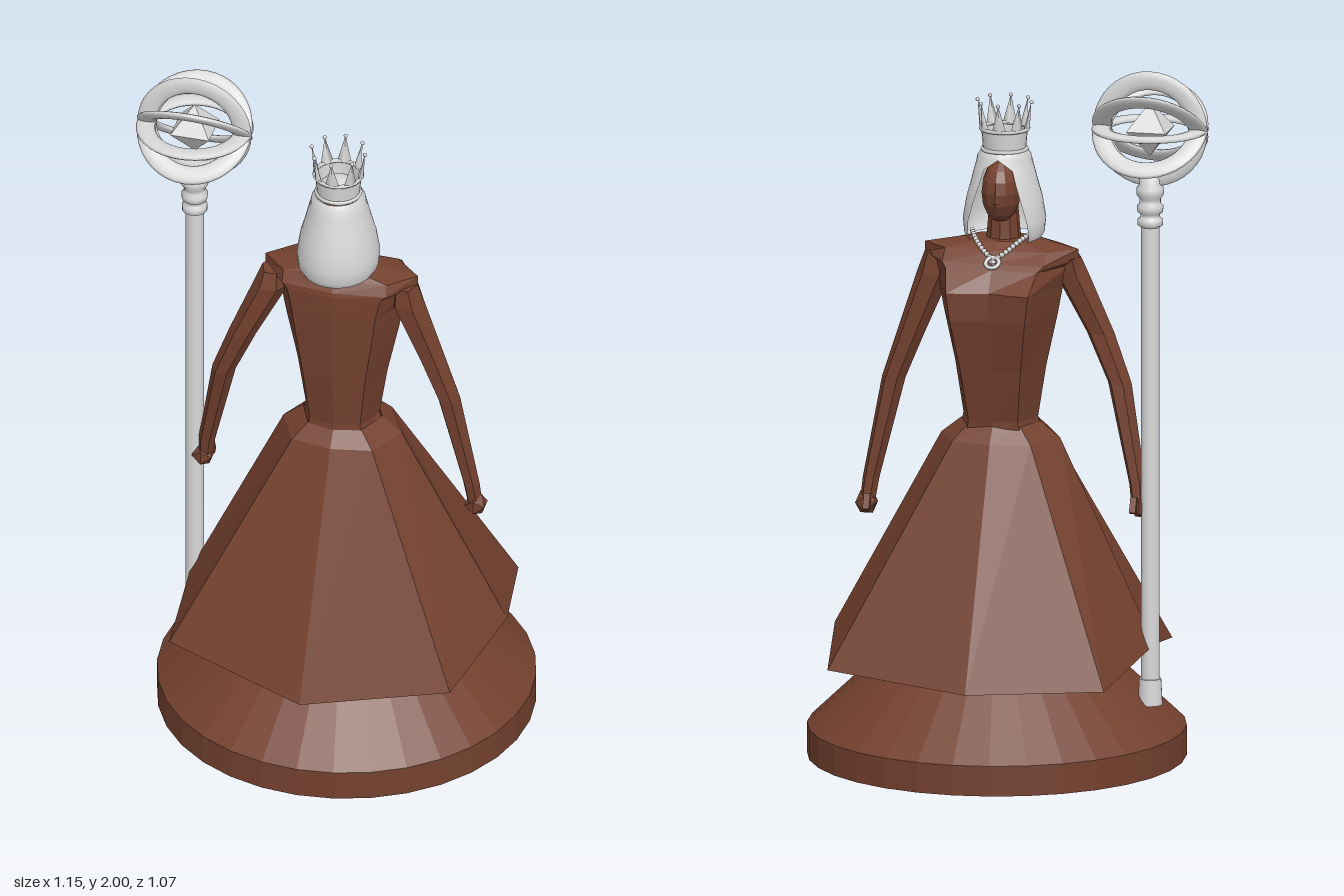
import * as THREE from 'three';

const brown = new THREE.MeshStandardMaterial({ color: 0x74412f, flatShading: true, side: THREE.DoubleSide });
brown.name = 'carved brown';
const silver = new THREE.MeshStandardMaterial({ color: 0xd8d8d8, side: THREE.DoubleSide });
silver.name = 'pale silver';

const CX = 0.027; // body axis

function add(parent, name, geo, mat, x = 0, y = 0, z = 0) {
  const m = new THREE.Mesh(geo, mat);
  m.name = name;
  m.position.set(x, y, z);
  parent.add(m);
  return m;
}

// Skin a stack of equal-length rings, listed bottom to top, with optional end caps
function loft(rings, capBottom = true, capTop = true) {
  const n = rings[0].length, pos = [];
  const tri = (a, b, c) => pos.push(...a, ...b, ...c);
  const centre = r => [0, 1, 2].map(k => r.reduce((s, p) => s + p[k], 0) / n);
  const top = rings[rings.length - 1], ct = centre(top), cb = centre(rings[0]);
  for (let j = 0; j < n; j++) {
    const k = (j + 1) % n;
    for (let i = 0; i < rings.length - 1; i++) {
      const a = rings[i], b = rings[i + 1];
      tri(a[j], b[j], a[k]);
      tri(a[k], b[j], b[k]);
    }
    if (capBottom) tri(rings[0][j], rings[0][k], cb);
    if (capTop) tri(top[k], top[j], ct);
  }
  const g = new THREE.BufferGeometry();
  g.setAttribute('position', new THREE.Float32BufferAttribute(pos, 3));
  g.computeVertexNormals();
  return g;
}

// Eight-point body section: half width, side depth, back (+z), bust and front-centre depths
const section = ([y, h, side, back, bust, mid]) => [
  [CX + h, y, side], [CX + h * 0.68, y, back * 0.85], [CX, y, back], [CX - h * 0.68, y, back * 0.85],
  [CX - h, y, side], [CX - h * 0.66, y, bust], [CX, y, mid], [CX + h * 0.66, y, bust]];

// Six-point limb section
const limb = ([x, y, z, rx, rz]) => Array.from({ length: 6 }, (_, i) => {
  const a = i * Math.PI / 3;
  return [x + rx * Math.cos(a), y, z + rz * Math.sin(a)];
});

const lathe = (pts, seg) => new THREE.LatheGeometry(pts.map(p => new THREE.Vector2(...p)), seg);

function buildBody(root) {
  // Round plinth with a sloping top
  add(root, 'plinthRim', new THREE.CylinderGeometry(0.535, 0.535, 0.087, 32), brown, 0.036, 0.0435);
  add(root, 'plinthSlope', new THREE.CylinderGeometry(0.2, 0.535, 0.32, 32), brown, 0.036, 0.247);

  // Flared skirt with an uneven hem
  const hem = [[0.51, 0.35, 0.02], [0.43, 0.29, 0.34], [0.01, 0.22, 0.41], [-0.4, 0.29, 0.3],
    [-0.42, 0.34, 0], [-0.36, 0.28, -0.36], [0.03, 0.26, -0.41], [0.45, 0.29, -0.32]];
  const belt = section([0.92, 0.172, 0.01, 0.145, -0.105, -0.125]);
  const waist = section([0.965, 0.115, 0.01, 0.11, -0.075, -0.09]);
  add(root, 'skirt', loft([hem, belt, waist], false, false), brown);

  // Bodice, bust and shoulder yoke
  add(root, 'bodice', loft([
    [0.93, 0.12, 0.01, 0.115, -0.08, -0.09],
    [0.98, 0.108, 0.01, 0.11, -0.085, -0.09],
    [1.13, 0.132, 0.01, 0.122, -0.118, -0.11],
    [1.28, 0.165, 0.01, 0.128, -0.158, -0.135],
    [1.36, 0.18, 0.01, 0.13, -0.163, -0.14],
    [1.42, 0.2, 0.02, 0.128, -0.105, -0.105],
    [1.435, 0.222, 0.02, 0.124, -0.09, -0.09],
    [1.466, 0.222, 0.02, 0.105, -0.05, -0.055],
    [1.487, 0.105, 0.03, 0.095, -0.02, -0.025]].map(section)), brown);

  // Neck and face
  add(root, 'neck', new THREE.CylinderGeometry(0.04, 0.052, 0.14, 10), brown, CX, 1.52, 0.045);
  add(root, 'face', new THREE.SphereGeometry(1, 12, 8), brown, CX, 1.625, 0.015).scale.set(0.056, 0.09, 0.072);
  const nose = add(root, 'nose', new THREE.ConeGeometry(0.012, 0.04, 4), brown, CX, 1.62, -0.057);
  nose.rotation.x = -0.25;

  // Arms, from wrist up to shoulder
  const arms = {
    left: [[0.408, 0.72, -0.005, 0.022, 0.026], [0.4, 0.78, 0, 0.024, 0.028], [0.338, 1.07, 0.015, 0.034, 0.04],
      [0.29, 1.2, 0.018, 0.04, 0.044], [0.222, 1.38, 0.025, 0.05, 0.055], [0.215, 1.44, 0.025, 0.035, 0.05]],
    right: [[-0.375, 0.75, -0.002, 0.022, 0.026], [-0.37, 0.8, 0.005, 0.024, 0.028], [-0.308, 1.08, 0.05, 0.034, 0.04],
      [-0.25, 1.22, 0.06, 0.04, 0.044], [-0.17, 1.39, 0.045, 0.05, 0.055], [-0.165, 1.44, 0.035, 0.035, 0.05]]
  };
  for (const side in arms) {
    add(root, side + 'Arm', loft(arms[side].map(limb)), brown);
    const [x, y, z] = arms[side][0];
    const out = side === 'left' ? 0.004 : -0.008;
    add(root, side + 'Hand', new THREE.IcosahedronGeometry(1, 0), brown, x + out, y - 0.012, z).scale.set(0.034, 0.037, 0.036);
    const thumb = add(root, side + 'Thumb', new THREE.BoxGeometry(0.018, 0.045, 0.018), brown, x - out, y - 0.005, z - 0.03);
    thumb.rotation.x = 0.4;
  }
}

function buildHeadwear(root) {
  // Long hair, parted over the face: the opening widens downwards
  const hair = lathe([[0.103, 1.482], [0.113, 1.5], [0.117, 1.54], [0.107, 1.6], [0.093, 1.65],
    [0.083, 1.69], [0.076, 1.72], [0.066, 1.735]], 32);
  const p = hair.attributes.position, uv = hair.attributes.uv;
  for (let i = 0; i < p.count; i++) {
    const y = p.getY(i), r = Math.hypot(p.getX(i), p.getZ(i));
    const open = THREE.MathUtils.clamp(0.9 - (y - 1.5) * 2, 0, 0.9) * (y > 1.7 ? 0 : 1);
    const a = Math.PI + open + uv.getX(i) * (2 * Math.PI - 2 * open);
    p.setXYZ(i, r * Math.sin(a), y, r * Math.cos(a) * 1.08);
  }
  hair.computeVertexNormals();
  add(root, 'hair', hair, silver, CX, 0, 0.055);
  const crest = add(root, 'hairTop', new THREE.SphereGeometry(0.062, 24, 8, 0, Math.PI * 2, 0, Math.PI / 2), silver, CX, 1.735, 0.055);
  crest.scale.y = 0.8;

  // Crown: band, two rims and a ring of outward-leaning points
  const crown = new THREE.Group();
  crown.name = 'crown';
  crown.position.set(CX, 0, 0.055);
  root.add(crown);
  add(crown, 'crownBand', new THREE.CylinderGeometry(0.066, 0.06, 0.07, 24, 1, true), silver, 0, 1.765);
  for (const [y, r] of [[1.738, 0.062], [1.797, 0.067]])
    add(crown, 'crownRim', new THREE.TorusGeometry(r, 0.006, 6, 24), silver, 0, y).rotation.x = Math.PI / 2;
  for (let i = 0; i < 8; i++) {
    const arm = new THREE.Group();
    arm.name = 'crownPoint';
    arm.rotation.y = i * Math.PI / 4;
    crown.add(arm);
    const spike = add(arm, 'crownSpike', new THREE.ConeGeometry(0.021, 0.082, 4), silver, 0, 1.836, 0.071);
    spike.scale.z = 0.4;
    spike.rotation.x = 0.16;
    add(arm, 'crownBead', new THREE.SphereGeometry(0.006, 8, 6), silver, 0, 1.875, 0.078);
  }

  // Beaded necklace with a ring pendant
  const chain = new THREE.CatmullRomCurve3([[-0.058, 1.505, 0.02], [-0.035, 1.49, -0.03], [0, 1.462, -0.065],
    [0.027, 1.448, -0.08], [0.054, 1.462, -0.065], [0.089, 1.49, -0.03], [0.112, 1.505, 0.02]]
    .map(v => new THREE.Vector3(...v)));
  for (const q of chain.getSpacedPoints(22))
    add(root, 'necklaceBead', new THREE.SphereGeometry(0.0075, 8, 6), silver, q.x, q.y, q.z);
  add(root, 'pendantRing', new THREE.TorusGeometry(0.019, 0.006, 6, 16), silver, CX, 1.44, -0.093).rotation.x = 0.9;
  add(root, 'pendantStone', new THREE.OctahedronGeometry(0.012), silver, CX, 1.44, -0.093);
}

function buildStaff(root) {
  const staff = new THREE.Group();
  staff.name = 'staff';
  staff.position.set(-0.411, 0, -0.013);
  root.add(staff);
  add(staff, 'staffPole', new THREE.CylinderGeometry(0.026, 0.026, 1.4, 20), silver, 0, 0.9);
  add(staff, 'staffFoot', new THREE.CylinderGeometry(0.031, 0.035, 0.075, 20), silver, 0, 0.207);
  // Turned collars and neck below the head
  add(staff, 'staffCollar', lathe([[0.026, 1.55], [0.036, 1.556], [0.036, 1.572], [0.028, 1.578], [0.028, 1.588],
    [0.036, 1.594], [0.038, 1.61], [0.03, 1.62], [0.03, 1.632], [0.039, 1.645], [0.039, 1.662],
    [0.03, 1.675], [0.03, 1.69], [0.02, 1.7]], 20), silver);

  // Four flattened rings sharing the x axis, around a crystal
  for (let i = 0; i < 4; i++) {
    const ring = add(staff, 'orbitRing', new THREE.TorusGeometry(0.139, 0.027, 10, 40), silver, 0, 1.833);
    ring.scale.z = 0.36;
    ring.rotation.x = i * Math.PI / 4;
  }
  const crystal = new THREE.OctahedronGeometry(1);
  crystal.rotateY(Math.PI / 4);
  add(staff, 'crystal', crystal, silver, 0, 1.833).scale.set(0.08, 0.078, 0.08);
}

export function createModel() {
  const root = new THREE.Group();
  root.name = 'crownedFigure';
  buildBody(root);
  buildHeadwear(root);
  buildStaff(root);
  return root;
}
